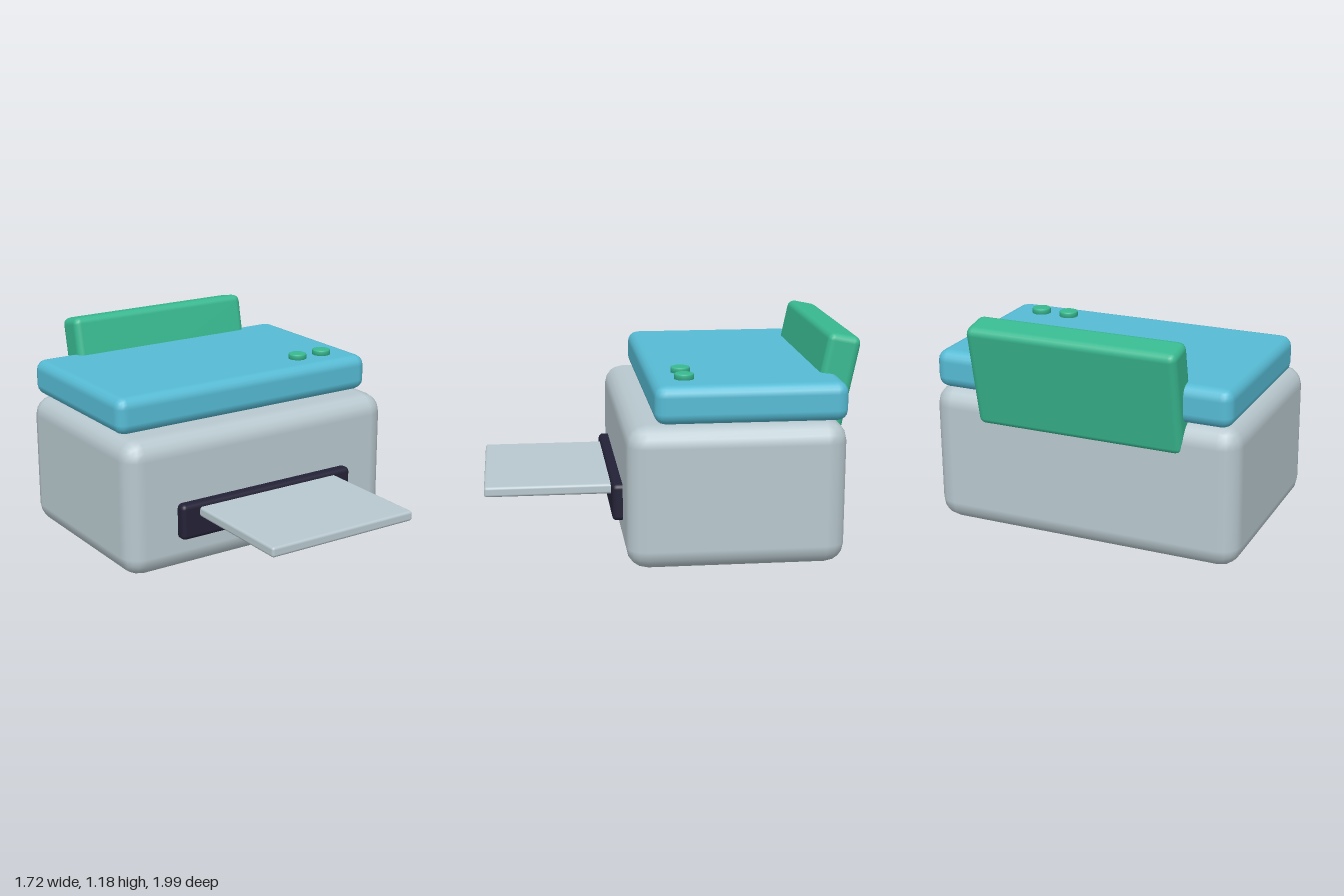
import * as THREE from 'three';
import { RoundedBoxGeometry } from 'three/addons/geometries/RoundedBoxGeometry.js';

const material = (name, color) => {
  const m = new THREE.MeshStandardMaterial({ color });
  m.name = name;
  return m;
};

export function createModel() {
  const group = new THREE.Group();
  group.name = 'printer';
  const grey = material('paleGrey', 0xb8c8ce);
  const blue = material('skyBlue', 0x56bbd4);
  const green = material('green', 0x38b990);
  const dark = material('darkNavy', 0x232136);

  const add = (name, geometry, mat, x, y, z) => {
    const mesh = new THREE.Mesh(geometry, mat);
    mesh.name = name;
    mesh.position.set(x, y, z);
    group.add(mesh);
    return mesh;
  };
  const roundedBox = (name, [w, h, d], radius, mat, y, z) =>
    add(name, new RoundedBoxGeometry(w, h, d, 2, radius), mat, 0, y, z);

  // Housing and lid
  roundedBox('body', [1.72, 0.765, 1.15], 0.11, grey, 0.3825, -0.305);
  roundedBox('lid', [1.65, 0.205, 1.005], 0.06, blue, 0.8675, -0.3775);

  // Paper support leaning back behind the lid
  const support = roundedBox('paperSupport', [1.15, 0.57, 0.18], 0.04, green, 0.89, -0.854);
  support.rotation.x = -0.2;

  // Output slot and the sheet coming out of it
  roundedBox('outputSlot', [1.125, 0.2, 0.11], 0.025, dark, 0.29, 0.27);
  roundedBox('paperSheet', [0.91, 0.056, 0.75], 0.015, grey, 0.338, 0.625);

  // Round buttons with softened rims
  const profile = [[0, -0.02], [0.052, -0.02], [0.052, 0.022], [0.049, 0.028], [0.044, 0.03], [0, 0.03]];
  const button = new THREE.LatheGeometry(profile.map(([r, y]) => new THREE.Vector2(r, y)), 24);
  [0.45, 0.62].forEach((x, i) => add(`button${i + 1}`, button, green, x, 0.97, -0.047));

  return group;
}
